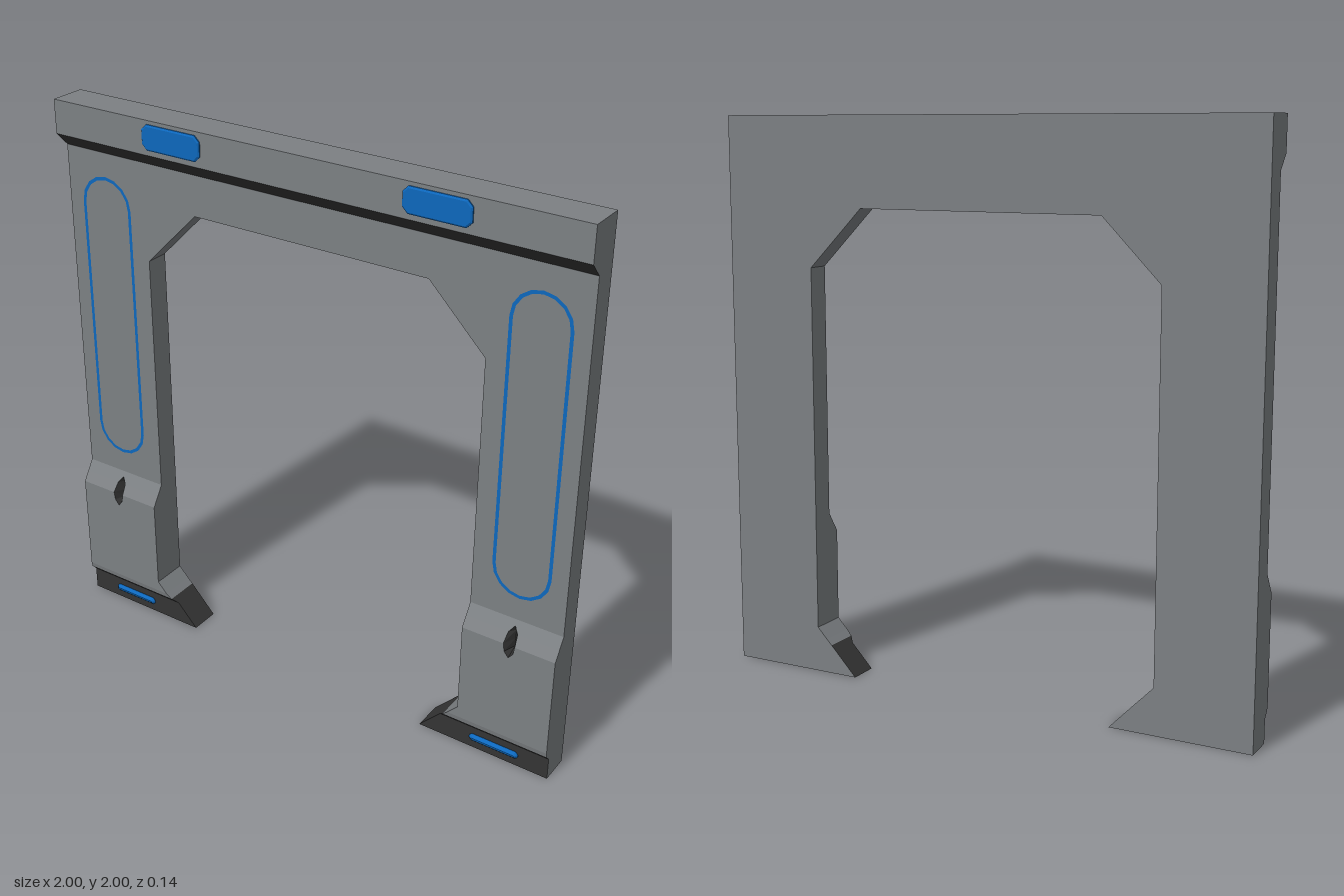
import * as THREE from 'three';

const flat = (name, color) => {
  const m = new THREE.MeshStandardMaterial({ color });
  m.name = name;
  return m;
};

// Half of the gate as rows from floor to top:
// y, inner edge x, front z, dark front above this row, dark inner side above this row, slot half width
const SLOT_X = 0.833;
const BACK = -0.07;
const ROWS = [
  [0, 0.5, 0.04, 1, 1, 0],
  [0.085, 0.581, 0.04, 1, 1, 0],
  [0.105, 0.6, 0.059, 0, 0, 0],
  [0.125, 0.62, 0.063, 0, 0, 0],
  [0.165, 0.658, 0.063, 0, 0, 0],
  [0.45, 0.658, 0.063, 0, 0, 0],
  [0.47, 0.658, 0.063, 0, 0, 0.016],
  [0.5, 0.658, 0.063, 0, 0, 0.021],
  [0.535, 0.658, 0.04, 0, 0, 0.017],
  [0.557, 0.658, 0.026, 0, 0, 0],
  [0.575, 0.658, 0.015, 0, 0, 0],
  [1.475, 0.658, 0.015, 0, 0, 0],
  [1.685, 0.45, 0.015, 0, 0, 0],
  [1.685, 0, 0.015, 0, 0, 0],
  [1.83, 0, 0.015, 1, 0, 0],
  [1.88, 0, 0.063, 0, 0, 0],
  [2, 0, 0.063, 0, 0, 0],
];

// Collects quads; s = -1 mirrors across x and keeps the faces outward
function quad(list, s, a, b, c, d) {
  const order = s > 0 ? [a, b, c, a, c, d] : [a, c, b, a, d, c];
  for (const p of order) list.push(p[0] * s, p[1], p[2]);
}

function meshFrom(list, material, name) {
  const g = new THREE.BufferGeometry();
  g.setAttribute('position', new THREE.Float32BufferAttribute(list, 3));
  g.computeVertexNormals();
  const m = new THREE.Mesh(g, material);
  m.name = name;
  return m;
}

function halfGate(s, grey, dark) {
  const body = [], trim = [], slot = [];
  for (let i = 0; i < ROWS.length - 1; i++) {
    const [y0, x0, z0, darkFront, darkInner, w0] = ROWS[i];
    const [y1, x1, z1, , , w1] = ROWS[i + 1];
    const front = darkFront ? trim : body;
    const strip = (list, a0, b0, a1, b1) =>
      quad(list, s, [a0, y0, z0], [b0, y0, z0], [b1, y1, z1], [a1, y1, z1]);

    // front, divided around the sunken slot
    if (w0 || w1) {
      strip(front, x0, SLOT_X - w0, x1, SLOT_X - w1);
      strip(front, SLOT_X + w0, 1, SLOT_X + w1, 1);
      const c0 = [SLOT_X, y0, w0 ? 0.015 : z0], c1 = [SLOT_X, y1, w1 ? 0.015 : z1];
      quad(slot, s, [SLOT_X - w0, y0, z0], c0, c1, [SLOT_X - w1, y1, z1]);
      quad(slot, s, c0, [SLOT_X + w0, y0, z0], [SLOT_X + w1, y1, z1], c1);
    } else if (y1 > y0) strip(front, x0, 1, x1, 1);

    // inner side of the opening
    if (x0 > 0) {
      quad(darkInner ? trim : body, s,
        [x0, y0, BACK], [x0, y0, z0], [x1, y1, z1], [x1, y1, BACK]);
    }
    // outer side and back
    if (y1 > y0) {
      quad(body, s, [1, y0, z0], [1, y0, BACK], [1, y1, BACK], [1, y1, z1]);
      quad(body, s, [1, y0, BACK], [x0, y0, BACK], [x1, y1, BACK], [1, y1, BACK]);
    }
  }
  // sole and top
  quad(body, s, [0.5, 0, BACK], [1, 0, BACK], [1, 0, 0.04], [0.5, 0, 0.04]);
  quad(body, s, [0, 2, 0.063], [1, 2, 0.063], [1, 2, BACK], [0, 2, BACK]);

  const g = new THREE.Group();
  g.add(meshFrom(body, grey, 'frameBody'), meshFrom(trim, dark, 'darkTrim'), meshFrom(slot, dark, 'legSlot'));
  return g;
}

// Upright pill outline
function pill(path, r, yLow, yHigh) {
  path.absarc(0, yHigh, r, 0, Math.PI, false);
  path.absarc(0, yLow, r, Math.PI, Math.PI * 2, false);
  path.closePath();
  return path;
}

// Rectangle with cut corners
function cutRect(w, h, c) {
  const x = w / 2, y = h / 2;
  return new THREE.Shape([
    [-x + c, -y], [x - c, -y], [x, -y + c], [x, y - c],
    [x - c, y], [-x + c, y], [-x, y - c], [-x, -y + c],
  ].map((p) => new THREE.Vector2(...p)));
}

export function createModel() {
  const model = new THREE.Group();
  model.name = 'gateway';
  const grey = flat('grey metal', 0x7c8083);
  const dark = flat('dark trim', 0x343434);
  const blue = flat('blue light', 0x0d68bd);

  // Outline strip on each leg
  const ringShape = pill(new THREE.Shape(), 0.106, 0.765, 1.638);
  ringShape.holes.push(pill(new THREE.Path(), 0.094, 0.765, 1.638));
  const ringGeo = new THREE.ShapeGeometry(ringShape, 4);

  // Header light with a bevelled rim
  const lampGeo = new THREE.ExtrudeGeometry(cutRect(0.226, 0.076, 0.016), {
    depth: 0.005, bevelEnabled: true, bevelThickness: 0.004, bevelSize: 0.006, bevelOffset: 0, bevelSegments: 1,
  });

  // Slim wedge light on each foot
  const footGeo = new THREE.ExtrudeGeometry(cutRect(0.166, 0.007, 0.003), {
    depth: 0.001, bevelEnabled: true, bevelThickness: 0.011, bevelSize: 0.011, bevelSegments: 1,
  });

  for (const s of [1, -1]) {
    const half = halfGate(s, grey, dark);
    half.name = s > 0 ? 'leftHalf' : 'rightHalf';
    const add = (geo, name, x, y, z) => {
      const m = new THREE.Mesh(geo, blue);
      m.name = name;
      m.position.set(x * s, y, z);
      half.add(m);
    };
    add(ringGeo, 'legLightStrip', 0.835, 0, 0.0165);
    add(lampGeo, 'headerLight', 0.498, 1.943, 0.062);
    add(footGeo, 'footLight', 0.793, 0.043, 0.04);
    model.add(half);
  }
  return model;
}
